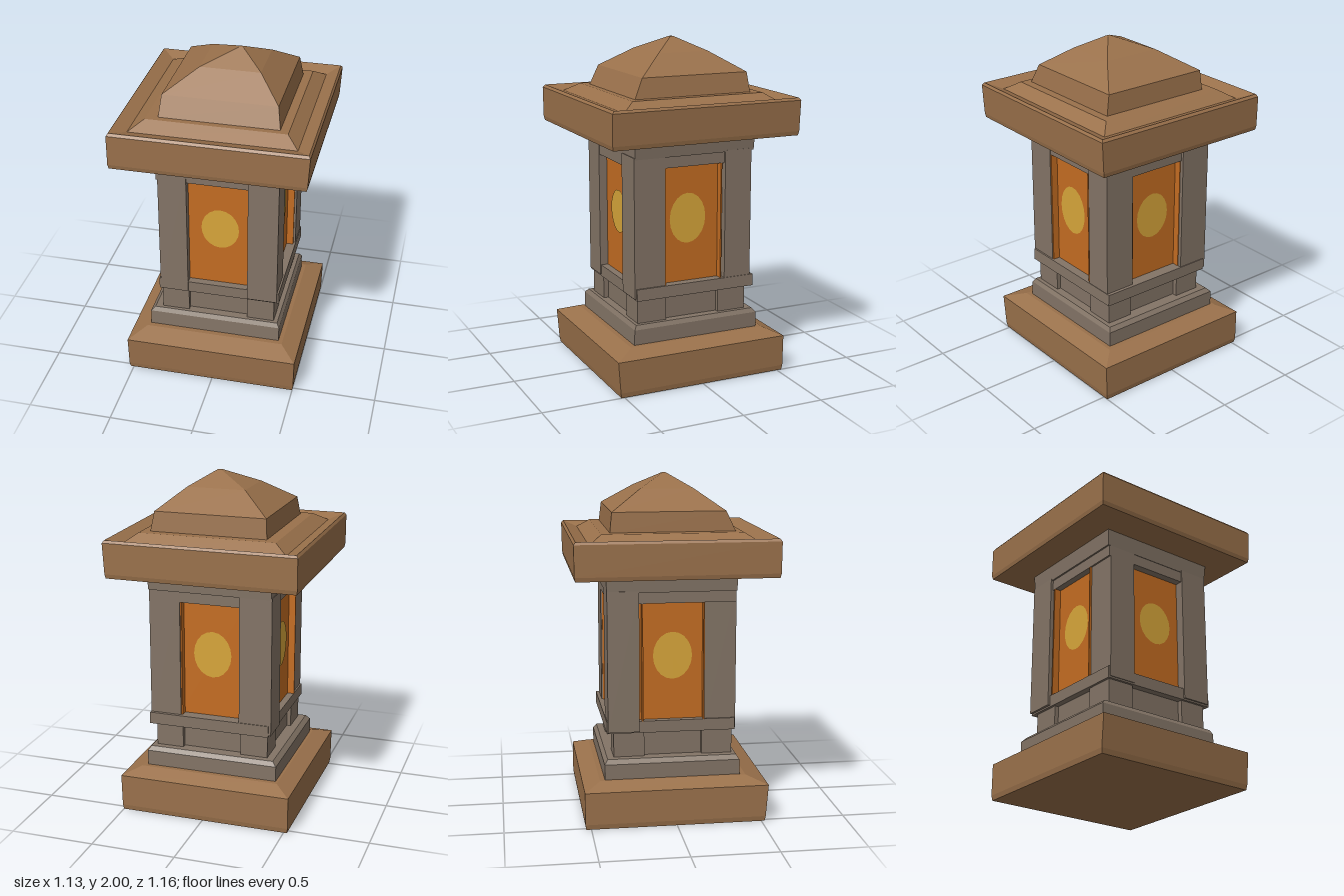
import * as THREE from 'three';

const mat = (name, color) => Object.assign(new THREE.MeshStandardMaterial({ color }), { name });

// Stack of rectangular rings [y, x0, x1, z0, z1], bottom to top, capped at both ends
function loft(name, rings, material) {
  const pts = rings.map(([y, x0, x1, z0, z1]) => [[x0, y, z1], [x1, y, z1], [x1, y, z0], [x0, y, z0]]);
  const pos = [];
  const quad = (a, b, c, d) => pos.push(...a, ...b, ...c, ...a, ...c, ...d);
  for (let i = 0; i < pts.length - 1; i++) {
    for (let k = 0; k < 4; k++) {
      const n = (k + 1) % 4;
      quad(pts[i][k], pts[i][n], pts[i + 1][n], pts[i + 1][k]);
    }
  }
  const b = pts[0], t = pts[pts.length - 1];
  quad(b[3], b[2], b[1], b[0]);
  quad(t[0], t[1], t[2], t[3]);
  const geo = new THREE.BufferGeometry();
  geo.setAttribute('position', new THREE.Float32BufferAttribute(pos, 3));
  geo.computeVertexNormals();
  const mesh = new THREE.Mesh(geo, material);
  mesh.name = name;
  return mesh;
}

const box = (name, x0, x1, y0, y1, z0, z1, m) =>
  loft(name, [[y0, x0, x1, z0, z1], [y1, x0, x1, z0, z1]], m);

export function createModel() {
  const wood = mat('brown wood', 0x9a714b);
  const stone = mat('grey stone', 0x837466);
  const glass = mat('orange glass', 0xc46d22);
  const glow = mat('yellow glow', 0xd8a63a);
  const model = new THREE.Group();
  model.name = 'stoneLantern';

  // Base slab with a sloped top, then the plinth
  model.add(loft('baseSlab', [
    [0, -0.52, 0.5, -0.53, 0.52],
    [0.03, -0.525, 0.505, -0.535, 0.525],
    [0.22, -0.525, 0.51, -0.535, 0.54],
    [0.26, -0.43, 0.41, -0.44, 0.42],
  ], wood));
  model.add(loft('plinth', [
    [0.24, -0.415, 0.385, -0.41, 0.39],
    [0.35, -0.415, 0.385, -0.41, 0.385],
    [0.375, -0.39, 0.37, -0.39, 0.37],
  ], stone));

  // Recessed lower wall and its corner feet
  model.add(box('lowerWall', -0.32, 0.32, 0.36, 0.54, -0.32, 0.32, stone));
  for (const sx of [-1, 1]) for (const sz of [-1, 1]) {
    const xs = [sx * 0.18, sx * 0.345].sort((a, b) => a - b);
    const zs = [sz * 0.17, sz * 0.35].sort((a, b) => a - b);
    model.add(box('cornerFoot', xs[0], xs[1], 0.36, 0.54, zs[0], zs[1], stone));
  }

  // Ledge, slightly uneven corner posts, lintel and top band
  model.add(loft('ledge', [
    [0.52, -0.36, 0.378, -0.39, 0.365],
    [0.59, -0.36, 0.375, -0.39, 0.365],
  ], stone));
  const posts = [[-0.35, 0.37], [0.365, 0.375], [0.372, -0.37], [-0.375, -0.385]];
  for (const [x, z] of posts) {
    const ix = x < 0 ? -0.18 : 0.185, iz = z < 0 ? -0.2 : 0.185;
    model.add(box('cornerPost', Math.min(x, ix), Math.max(x, ix), 0.53, 1.36,
      Math.min(z, iz), Math.max(z, iz), stone));
  }
  model.add(box('lintel', -0.36, 0.36, 1.285, 1.37, -0.37, 0.367, stone));
  model.add(loft('topBand', [
    [1.35, -0.37, 0.37, -0.385, 0.37],
    [1.47, -0.375, 0.38, -0.39, 0.375],
  ], stone));

  // Windows on four sides: glass pane, glowing disc, orange side jambs
  const sides = [
    { name: 'front', turn: 0, rx: 0.113, ry: 0.13, dx: 0.01 },
    { name: 'left', turn: 1, rx: 0.115, ry: 0.15, dx: -0.02 },
    { name: 'back', turn: 2, rx: 0.115, ry: 0.14, dx: 0 },
    { name: 'right', turn: 3, rx: 0.115, ry: 0.14, dx: 0 },
  ];
  for (const s of sides) {
    const win = new THREE.Group();
    win.name = s.name + 'Window';
    win.add(box('glassPane', -0.21, 0.21, 0.57, 1.3, 0.3, 0.32, glass));
    const disc = new THREE.Mesh(new THREE.CircleGeometry(1, 20), glow);
    disc.name = 'glowDisc';
    disc.scale.set(s.rx, s.ry, 1);
    disc.position.set(s.dx, 0.97, 0.324);
    win.add(disc);
    if (s.turn > 0) {
      for (const sx of [-1, 1]) {
        const xs = [sx * 0.176, sx * 0.184].sort((a, b) => a - b);
        win.add(box('windowJamb', xs[0], xs[1], 0.59, 1.285, 0.31, 0.362, glass));
      }
    }
    win.rotation.y = s.turn * Math.PI / 2;
    model.add(win);
  }

  // Wide roof slab with a shallow groove around the raised centre
  model.add(loft('roofSlab', [
    [1.45, -0.565, 0.55, -0.575, 0.575],
    [1.475, -0.57, 0.555, -0.58, 0.58],
    [1.655, -0.57, 0.565, -0.582, 0.582],
    [1.67, -0.56, 0.555, -0.57, 0.57],
    [1.64, -0.48, 0.48, -0.49, 0.48],
    [1.69, -0.4, 0.41, -0.415, 0.4],
  ], wood));

  // Roof cap with an off-centre peak
  model.add(loft('roofCap', [
    [1.67, -0.335, 0.362, -0.362, 0.366],
    [1.69, -0.333, 0.36, -0.36, 0.364],
    [1.805, -0.325, 0.338, -0.348, 0.31],
    [1.92, -0.145, 0.205, -0.165, 0.15],
    [2, 0.05, 0.075, -0.005, 0.015],
  ], wood));
  return model;
}
